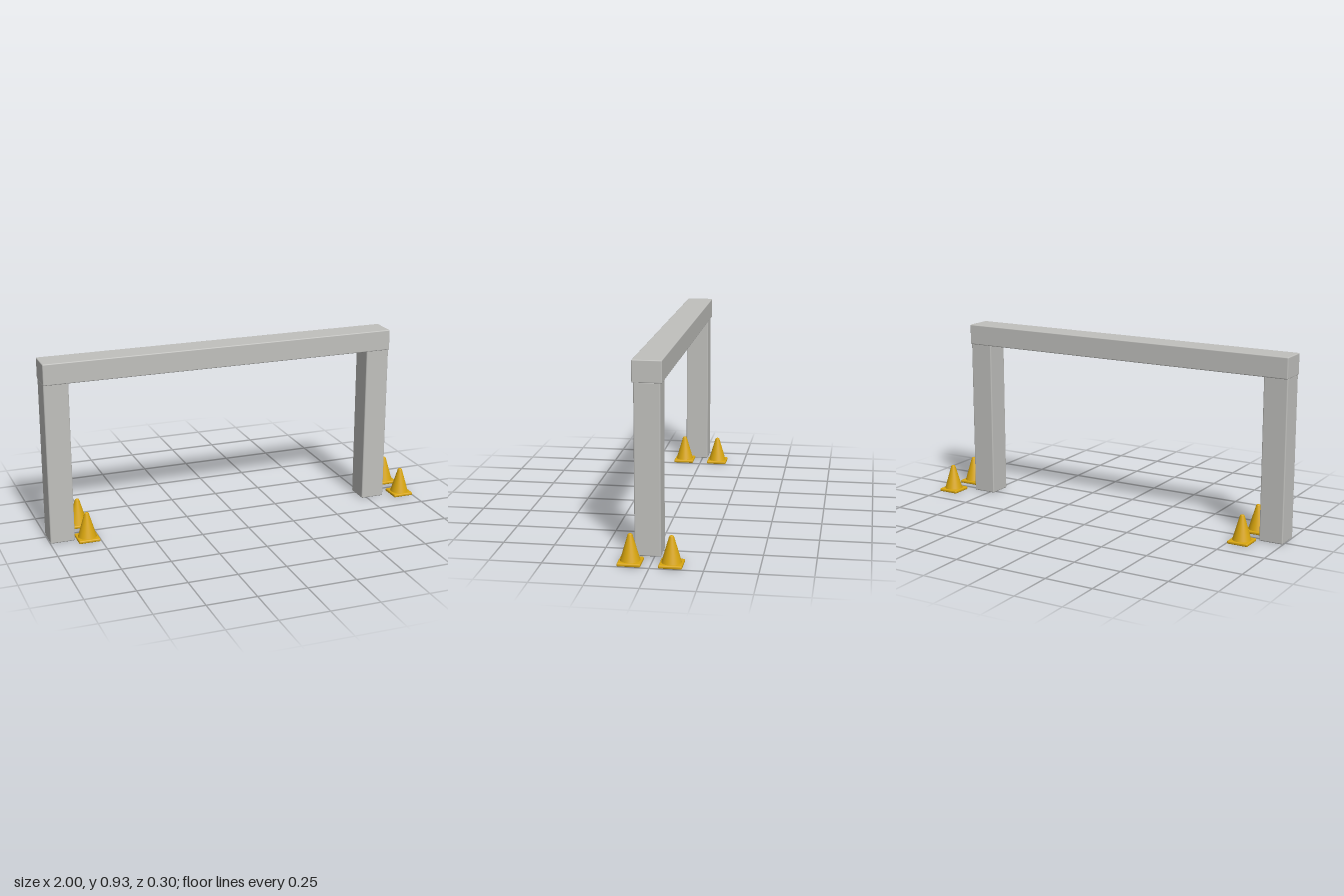
import * as THREE from 'three';
import { RoundedBoxGeometry } from 'three/addons/geometries/RoundedBoxGeometry.js';

export function createModel() {
  const model = new THREE.Group();
  model.name = 'barrierGate';

  const concrete = new THREE.MeshStandardMaterial({ color: 0xc0c0bd });
  concrete.name = 'concreteGrey';
  const yellow = new THREE.MeshStandardMaterial({ color: 0xd9a60e });
  yellow.name = 'coneYellow';

  // Softly bevelled block given by its minimum and maximum corners
  function block(name, min, max, bevel, material) {
    const size = max.map((v, i) => v - min[i]);
    const mesh = new THREE.Mesh(new RoundedBoxGeometry(...size, 2, bevel), material);
    mesh.position.set(...max.map((v, i) => (v + min[i]) / 2));
    mesh.name = name;
    return mesh;
  }

  // Portal frame: two posts under an overhanging beam
  model.add(
    block('rightPost', [-0.999, 0, -0.03], [-0.874, 0.83, 0.095], 0.006, concrete),
    block('leftPost', [0.72, 0, -0.03], [0.845, 0.83, 0.095], 0.006, concrete),
    block('topBeam', [-1, 0.825, -0.038], [0.846, 0.932, 0.103], 0.005, concrete)
  );

  // Cone body with a small rounded tip
  const profile = [[0.048, 0.014], [0.046, 0.02], [0.0115, 0.138], [0.009, 0.142], [0.006, 0.143]]
    .map(([r, y]) => new THREE.Vector2(r, y));
  profile.push(new THREE.Vector2(0, 0.143));
  const coneGeometry = new THREE.LatheGeometry(profile, 32);

  function trafficCone(name, x, z) {
    const cone = new THREE.Group();
    cone.name = name;
    const body = new THREE.Mesh(coneGeometry, yellow);
    body.name = 'coneBody';
    cone.add(block('coneBase', [-0.055, 0, -0.055], [0.055, 0.016, 0.055], 0.006, yellow), body);
    cone.position.set(x, 0, z);
    return cone;
  }

  // A front and back cone beside each post
  for (const [side, x] of [['right', -0.811], ['left', 0.944]]) {
    model.add(trafficCone(side + 'FrontCone', x, 0.096), trafficCone(side + 'BackCone', x, -0.096));
  }

  return model;
}
